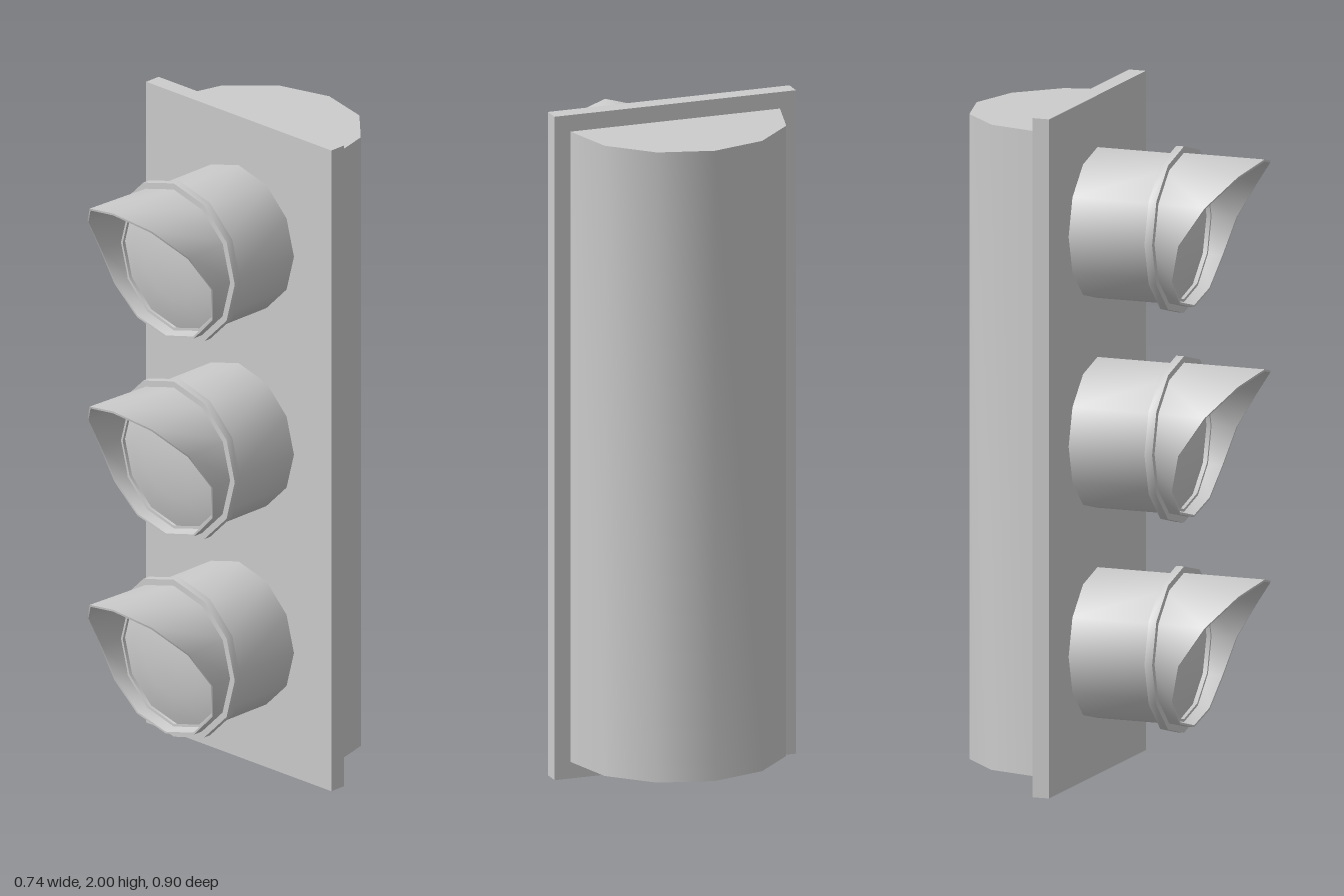
import * as THREE from 'three';
import { toCreasedNormals } from 'three/addons/utils/BufferGeometryUtils.js';

const grey = new THREE.MeshStandardMaterial({ color: 0xcccccc, side: THREE.DoubleSide });
const SIDES = 12;

function part(name, geometry, parent) {
  const mesh = new THREE.Mesh(geometry, grey);
  mesh.name = name;
  parent.add(mesh);
  return mesh;
}

// Lathe turned so that its axis runs along z; profile is [radius, z] pairs
function turned(profile) {
  const g = new THREE.LatheGeometry(profile.map(([r, z]) => new THREE.Vector2(r, z)), SIDES);
  g.rotateX(Math.PI / 2);
  return toCreasedNormals(g, 0.7);
}

// Visor: a thin collar whose front rim sweeps forward towards the top
function visorGeometry() {
  const rimX = [0, 0.125, 0.205, 0.227, 0.197, 0.114, 0];
  const rimZ = [0.447, 0.415, 0.343, 0.27, 0.238, 0.23, 0.228];
  const positions = [], indices = [];
  for (let i = 0; i <= SIDES; i++) {
    const a = (i / SIDES) * Math.PI * 2;
    const k = i <= 6 ? i : SIDES - i;
    const s = Math.sin(a), c = Math.cos(a), side = i <= 6 ? 1 : -1;
    // outer back, outer rim, inner rim, inner back
    positions.push(0.226 * s, 0.226 * c, 0.18);
    positions.push(side * rimX[k], 0.226 * c, rimZ[k]);
    positions.push(side * rimX[k] * 0.975, 0.22 * c, rimZ[k]);
    positions.push(0.21 * s, 0.21 * c, 0.18);
  }
  for (let i = 0; i < SIDES; i++) {
    for (let j = 0; j < 3; j++) {
      const p = i * 4 + j, q = p + 4;
      indices.push(p, p + 1, q, q, p + 1, q + 1);
    }
  }
  const g = new THREE.BufferGeometry();
  g.setAttribute('position', new THREE.Float32BufferAttribute(positions, 3));
  g.setIndex(indices);
  return toCreasedNormals(g, 0.9);
}

function lamp(name, y) {
  const group = new THREE.Group();
  group.name = name;
  group.position.y = y;
  part('lampTube', turned([[0.222, -0.08], [0.222, 0.18]]), group);
  part('lampRing', turned([[0.205, 0.172], [0.245, 0.172], [0.245, 0.196], [0.205, 0.196]]), group);
  part('visor', visorGeometry(), group);
  // Shallow domed lens
  part('lens', turned([[0.213, 0.18], [0.17, 0.195], [0.115, 0.206], [0.06, 0.213], [0, 0.215]]), group);
  return group;
}

export function createModel() {
  const model = new THREE.Group();
  model.name = 'trafficLight';

  // Flat backing plate
  const plate = part('backPlate', new THREE.BoxGeometry(0.744, 2, 0.052), model);
  plate.position.set(0, 1, -0.099);

  // Faceted half-round housing behind the plate
  const half = [[0.323, 0.125], [0.28, 0.29], [0.162, 0.406], [0, 0.449]];
  const outline = [...half, ...half.slice(0, 3).reverse().map(([x, z]) => [-x, z])];
  const shape = new THREE.Shape(outline.map(([x, z]) => new THREE.Vector2(x, z)));
  const housing = new THREE.ExtrudeGeometry(shape, { depth: 1.9, bevelEnabled: false });
  housing.rotateX(-Math.PI / 2);
  housing.translate(0, 0.05, 0);
  part('rearHousing', toCreasedNormals(housing, 0.9), model);

  // Three stacked lamps
  [['topLamp', 1.625], ['middleLamp', 1.007], ['bottomLamp', 0.388]]
    .forEach(([name, y]) => model.add(lamp(name, y)));

  return model;
}
